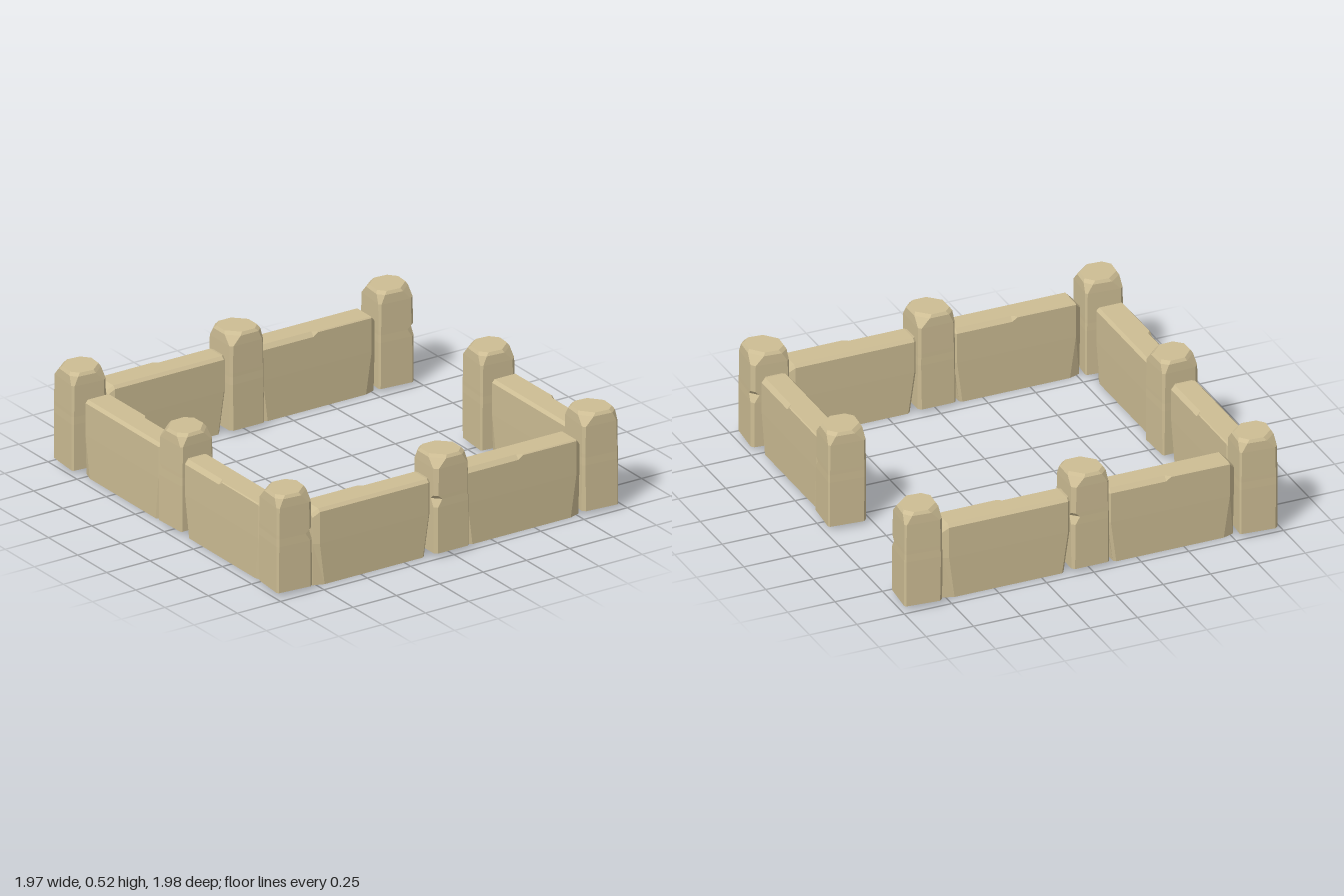
import * as THREE from 'three';

// Skin a list of equal-length rings (right-handed about the axis) with flat faces and end caps.
function loft(rings) {
  const pos = [];
  const tri = (a, b, c) => pos.push(...a, ...b, ...c);
  const n = rings[0].length;
  for (let i = 0; i < rings.length - 1; i++) {
    for (let j = 0; j < n; j++) {
      const k = (j + 1) % n;
      const [a, b, c, d] = [rings[i][j], rings[i][k], rings[i + 1][k], rings[i + 1][j]];
      tri(a, b, c);
      tri(a, c, d);
    }
  }
  const first = rings[0], last = rings[rings.length - 1];
  for (let j = 1; j < n - 1; j++) {
    tri(first[0], first[j + 1], first[j]);
    tri(last[0], last[j], last[j + 1]);
  }
  const g = new THREE.BufferGeometry();
  g.setAttribute('position', new THREE.Float32BufferAttribute(pos, 3));
  g.computeVertexNormals();
  return g;
}

// Stone post: square with cut corners; the first corner carries a small nick.
function postGeometry() {
  // height, half width, cut of each of the four corners
  const levels = [
    [0.02, 0.098, [0.014, 0.008, 0.016, 0.008]],
    [0.26, 0.098, [0.016, 0.008, 0.012, 0.01]],
    [0.30, 0.097, [0.04, 0.008, 0.012, 0.01]],
    [0.32, 0.097, [0.018, 0.008, 0.012, 0.01]],
    [0.46, 0.096, [0.02, 0.01, 0.014, 0.012]],
    [0.505, 0.094, [0.06, 0.035, 0.055, 0.03]],
    [0.52, 0.085, [0.06, 0.04, 0.06, 0.035]],
  ];
  return loft(levels.map(([y, h, cuts]) => {
    const ring = [];
    cuts.forEach((c, corner) => {
      for (let [x, z] of [[h - c, h], [h, h - c]]) {
        for (let k = 0; k < corner; k++) [x, z] = [z, -x];
        ring.push([x, y, z]);
      }
    });
    return ring;
  }));
}

// Wall slab along x: chipped upper edge on +z near one end, bevelled at the other end.
function wallGeometry() {
  // x, half depth, top height, chip drop, chip inset, shift of the bottom corners
  const stations = [
    [-0.335, 0.058, 0.398, 0.02, 0.015, 0.03],
    [-0.322, 0.07, 0.4, 0.022, 0.02, 0.03],
    [-0.03, 0.07, 0.4, 0.022, 0.02, 0],
    [-0.005, 0.07, 0.4, 0.004, 0.004, 0],
    [0.305, 0.07, 0.4, 0.006, 0.006, -0.03],
    [0.335, 0.05, 0.37, 0.008, 0.006, -0.003],
  ];
  return loft(stations.map(([x, w, top, drop, inset, shift]) => [
    [x, top, -w + 0.015],
    [x, top, w - inset],
    [x, top - drop, w],
    [x, 0.22, w],
    [x + shift, 0, w - 0.004],
    [x + shift, 0, -w + 0.004],
    [x, 0.22, -w],
    [x, top - 0.015, -w],
  ]));
}

export function createModel() {
  const group = new THREE.Group();
  const stone = new THREE.MeshStandardMaterial({ color: 0xcdbd94 });
  stone.name = 'sandstone';

  const place = (name, geometry, [x, z, degrees]) => {
    const mesh = new THREE.Mesh(geometry, stone);
    mesh.name = name;
    mesh.position.set(x, 0, z);
    mesh.rotation.y = THREE.MathUtils.degToRad(degrees);
    group.add(mesh);
  };

  // Posts: x, z, yaw
  const post = postGeometry();
  const posts = {
    backRightPost: [-0.885, -0.893, -5],
    backPost: [0, -0.87, 90],
    backLeftPost: [0.877, -0.88, -5],
    rightPost: [-0.868, -0.012, 182],
    leftPost: [0.875, -0.003, -5],
    frontRightPost: [-0.88, 0.863, -5],
    frontPost: [0, 0.888, -90],
    frontLeftPost: [0.877, 0.873, 85],
  };
  for (const [name, spot] of Object.entries(posts)) place(name, post, spot);

  // Walls: x, z, yaw; the gap at the back of the left side is the entrance
  const wall = wallGeometry();
  const walls = {
    backRightWall: [-0.435, -0.88, 180],
    backLeftWall: [0.435, -0.88, 0],
    frontRightWall: [-0.435, 0.88, 180],
    frontLeftWall: [0.435, 0.88, 0],
    rightBackWall: [-0.88, -0.447, 90],
    rightFrontWall: [-0.88, 0.425, -90],
    leftFrontWall: [0.872, 0.437, 90],
  };
  for (const [name, spot] of Object.entries(walls)) place(name, wall, spot);

  return group;
}
